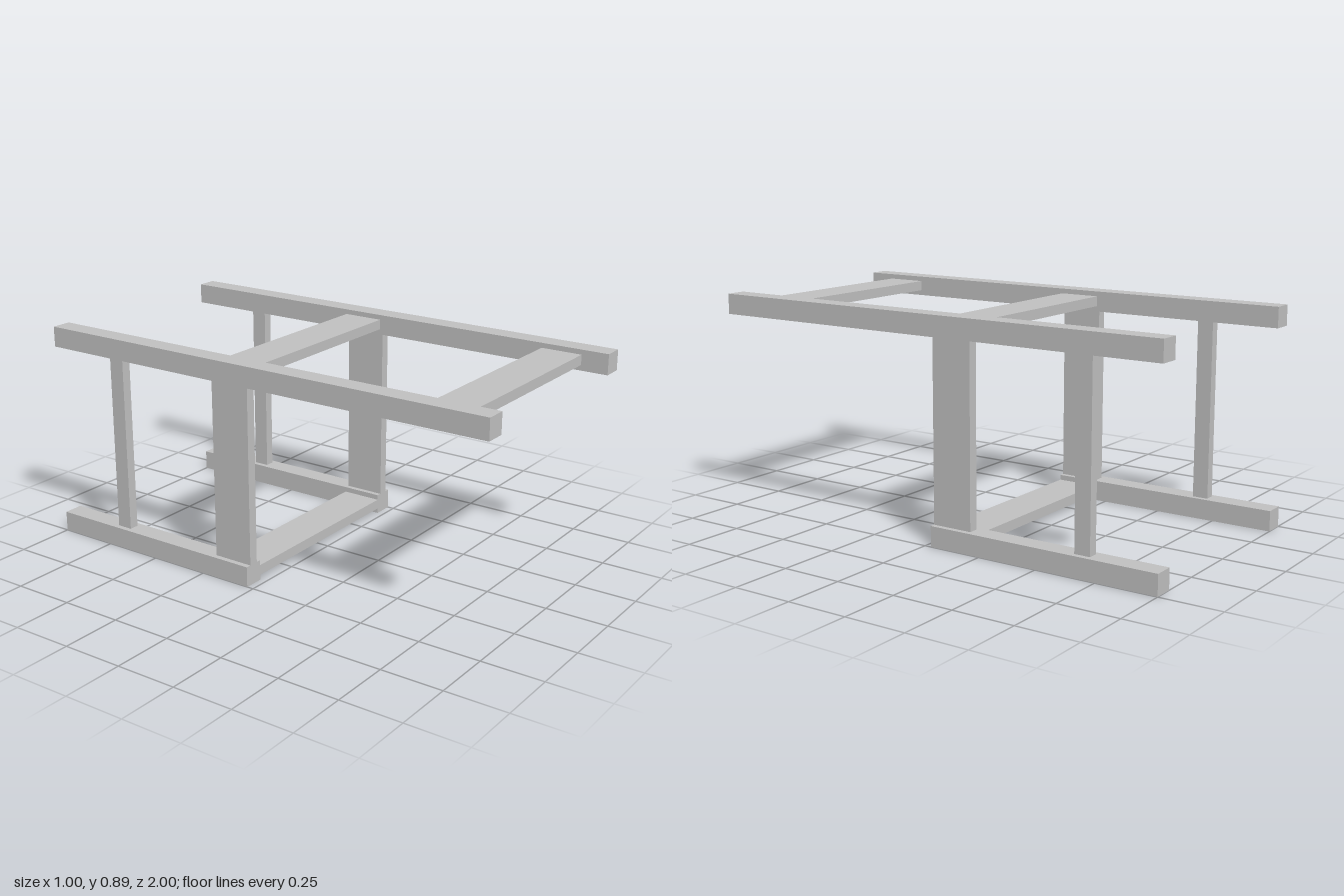
import * as THREE from 'three';

export function createModel() {
  const group = new THREE.Group();
  const grey = new THREE.MeshStandardMaterial({ color: 0xc0c0c0 });
  grey.name = 'grey';

  // Box given by its extents on each axis
  function beam(name, [x0, x1], [y0, y1], [z0, z1]) {
    const mesh = new THREE.Mesh(new THREE.BoxGeometry(x1 - x0, y1 - y0, z1 - z0), grey);
    mesh.position.set((x0 + x1) / 2, (y0 + y1) / 2, (z0 + z1) / 2);
    mesh.name = name;
    group.add(mesh);
  }

  const low = 0.083, high = 0.807, top = 0.89, inner = 0.417;
  const wide = [-0.197, -0.028];

  // Side frames: square rails joined by flat posts
  for (const [side, s] of [['left', 1], ['right', -1]]) {
    const span = (a, b) => (s > 0 ? [a, b] : [-b, -a]);
    beam(side + 'TopRail', span(inner, 0.5), [high, top], [-1, 1]);
    beam(side + 'BottomRail', span(inner, 0.5), [0, low], [-1, -0.028]);
    beam(side + 'WidePost', span(0.438, 0.478), [low, high], wide);
    beam(side + 'NarrowPost', span(0.438, 0.478), [low, high], [-0.717, -0.652]);
  }

  // Flat crossbars between the side frames
  const across = [-inner, inner];
  beam('frontCrossbar', across, [0.829, 0.87], [0.72, 0.889]);
  beam('middleCrossbar', across, [0.829, 0.87], wide);
  beam('bottomCrossbar', across, [0.021, 0.062], wide);

  return group;
}
